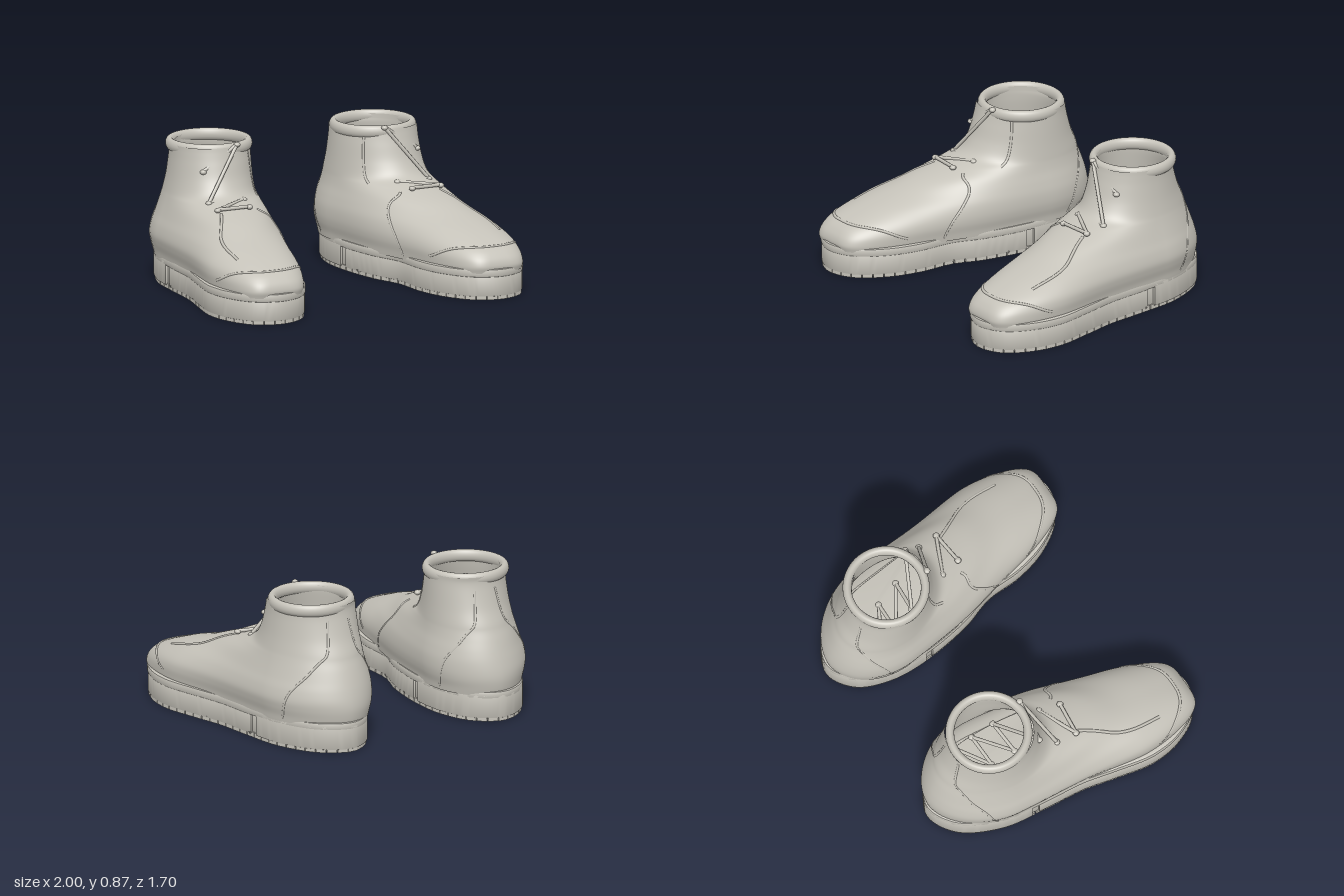
import * as THREE from 'three';
import { mergeGeometries, toCreasedNormals } from 'three/addons/utils/BufferGeometryUtils.js';

const V = (x, y, z) => new THREE.Vector3(x, y, z);

// Sole outline as [x, z], heel -> inner side -> toe -> outer side
const outlineCurve = new THREE.CatmullRomCurve3([
  [.53, -.855], [.37, -.76], [.285, -.55], [.275, -.3], [.32, 0], [.385, .2], [.40, .42], [.455, .62], [.57, .79],
  [.73, .85], [.885, .79], [.975, .63], [1.0, .44], [.955, .2], [.91, 0], [.885, -.25], [.845, -.52], [.71, -.77],
].map(([x, z]) => V(x, 0, z)), true);

function outline(inset, n = 160) {
  const pts = [];
  for (let i = 0; i < n; i++) {
    const p = outlineCurve.getPointAt(i / n), t = outlineCurve.getTangentAt(i / n);
    pts.push(new THREE.Vector2(p.x + t.z * inset, p.z - t.x * inset));
  }
  return pts;
}

function slab(points, y0, y1, bevel = 0.006) {
  const shape = new THREE.Shape(points.map(p => new THREE.Vector2(p.x, -p.y)));
  const geo = new THREE.ExtrudeGeometry(shape, {
    depth: y1 - y0 - 2 * bevel, bevelEnabled: true, bevelThickness: bevel, bevelSize: bevel, bevelOffset: -bevel, bevelSegments: 2,
  });
  return toCreasedNormals(geo.rotateX(-Math.PI / 2).translate(0, y0 + bevel, 0), 0.6);
}

function inside(x, z, poly) {
  let hit = false;
  for (let i = 0, j = poly.length - 1; i < poly.length; j = i++) {
    const a = poly[i], b = poly[j];
    if ((a.y > z) !== (b.y > z) && x < (b.x - a.x) * (z - a.y) / (b.y - a.y) + a.x) hit = !hit;
  }
  return hit;
}

// Upper: level rings of [y, back z, front z, half width, roundness of the front, x shift]
const rows = [
  [.16, -.835, .828, .298, .45, 0], [.20, -.845, .836, .305, .46, 0], [.25, -.85, .815, .32, .54, 0],
  [.30, -.845, .755, .328, .67, 0], [.36, -.83, .60, .322, .80, -.005], [.42, -.81, .40, .305, .89, -.01],
  [.48, -.787, .235, .287, .94, -.012], [.53, -.765, .06, .275, .97, -.015], [.57, -.75, -.05, .268, 1, -.018],
  [.65, -.715, -.11, .258, 1, -.022], [.75, -.685, -.145, .25, 1, -.025], [.81, -.673, -.162, .247, 1, -.025],
  [.845, -.675, -.17, .247, 1, -.025],
];
const curveA = new THREE.CatmullRomCurve3(rows.map(r => V(r[0], r[1], r[2])), false, 'catmullrom', .5);
const curveB = new THREE.CatmullRomCurve3(rows.map(r => V(r[3], r[4], r[5])), false, 'catmullrom', .5);
const stops = [-.9, -.4, 0, .4, .9];
const centreLine = new THREE.SplineCurve([.525, .57, .615, .695, .735].map((x, i) => new THREE.Vector2(stops[i], x)));
const ZC = -.42;

function centreX(z) {
  let i = 0;
  while (i < 3 && z > stops[i + 1]) i++;
  const f = THREE.MathUtils.clamp((z - stops[i]) / (stops[i + 1] - stops[i]), 0, 1);
  return centreLine.getPoint((i + f) / 4).y;
}

// Point on the upper: u runs from sole to collar, t around from the toe towards the outer side
function upperPoint(u, t, inset = 0) {
  const a = curveA.getPoint(u), b = curveB.getPoint(u);
  const c = Math.cos(t), s = Math.sin(t);
  const z = ZC + c * (c > 0 ? a.z - inset - ZC : ZC - a.y - inset);
  const e = c > 0 ? b.y : 1 + .1 * (1 - u);
  const toe = 1 + .05 * Math.exp(-(((z - .48) / .22) ** 2));
  const x = centreX(z) + b.z + Math.sign(s) * Math.pow(Math.abs(s), e) * (b.x - inset) * toe;
  return V(x, a.x, z);
}

function loft(inset, flip) {
  const N = 160, M = 72, pos = [], idx = [];
  for (let i = 0; i <= M; i++) for (let j = 0; j < N; j++) {
    const p = upperPoint(i / M, j / N * Math.PI * 2, inset);
    pos.push(p.x, p.y - (i < M ? inset * .6 : 0), p.z);
  }
  for (let i = 0; i < M; i++) for (let j = 0; j < N; j++) {
    const a = i * N + j, b = i * N + (j + 1) % N, c = a + N, d = b + N;
    if (flip) idx.push(a, c, b, b, c, d); else idx.push(a, b, c, b, d, c);
  }
  const geo = new THREE.BufferGeometry();
  geo.setAttribute('position', new THREE.Float32BufferAttribute(pos, 3));
  geo.setIndex(idx);
  geo.computeVertexNormals();
  return geo;
}

// Low raised seam through [u, t] points, sunk partly into the upper
function seam(path, r = .009) {
  const guide = new THREE.CatmullRomCurve3(path.map(([u, t]) => V(u, t, 0)));
  const pts = guide.getPoints(30).map(p => upperPoint(p.x, p.y, .006));
  return new THREE.TubeGeometry(new THREE.CatmullRomCurve3(pts), 60, r, 8);
}

function treadGeometry() {
  const parts = [], area = outline(.045);
  for (let row = 0, z = -.82; z < .85; z += .042, row++) {
    for (let x = .25 + (row % 2) * .045; x < 1; x += .09) {
      if (inside(x, z, area)) parts.push(new THREE.CylinderGeometry(.05, .03, .03, 4).translate(x, .015, z));
    }
  }
  // Lugs along the edge
  const n = 60;
  for (let i = 0; i < n; i++) {
    const p = outlineCurve.getPointAt(i / n), t = outlineCurve.getTangentAt(i / n);
    const box = new THREE.BoxGeometry(.045, .03, .06).rotateY(Math.atan2(t.x, t.z));
    parts.push(box.translate(p.x + t.z * .031, .015, p.z - t.x * .031));
  }
  return toCreasedNormals(mergeGeometries(parts), .5);
}

// Zigzag lace over the instep, over the collar and down inside
const lacePoints = [
  [.54, .54, .08], [.74, .535, .06], [.51, .555, -.05], [.73, .55, -.07], [.49, .86, -.172], [.71, .715, -.18],
  [.43, .56, -.32], [.63, .52, -.30], [.40, .46, -.45], [.60, .43, -.44], [.37, .40, -.57], [.55, .39, -.56],
].map(p => V(...p));

function laceGeometry() {
  const parts = [];
  for (let i = 1; i < lacePoints.length; i++) {
    parts.push(new THREE.TubeGeometry(new THREE.LineCurve3(lacePoints[i - 1], lacePoints[i]), 1, .011, 8));
  }
  return mergeGeometries(parts);
}

function eyeletGeometry() {
  return mergeGeometries(lacePoints.map(p =>
    new THREE.SphereGeometry(.02, 12, 8).scale(1, .75, 1).translate(p.x, p.y - .003, p.z)));
}

function mirrored(geo) {
  const g = geo.clone().scale(-1, 1, 1);
  const src = g.index ? Array.from(g.index.array) : Array.from({ length: g.attributes.position.count }, (_, i) => i);
  for (let i = 0; i < src.length; i += 3) [src[i + 1], src[i + 2]] = [src[i + 2], src[i + 1]];
  g.setIndex(src);
  return g;
}

export function createModel() {
  const clay = new THREE.MeshStandardMaterial({ color: 0xc5c2b9 });
  clay.name = 'warmGrey';
  const parts = {
    upper: loft(0, false),
    lining: loft(.035, true),
    insole: slab(outline(.04), .17, .2),
    collar: new THREE.TorusGeometry(.23, .026, 16, 64).rotateX(Math.PI / 2).scale(1, 1.4, 1).translate(.544, .829, -.424),
    welt: slab(outline(0), .135, .183, .01),
    soleCore: slab(outline(.016), .02, .15),
    frontSole: slab(outline(.004).filter(p => p.y > -.29), .02, .14),
    heelBlock: slab(outline(0).filter(p => p.y < -.315), .02, .165),
    tread: treadGeometry(),
    lace: laceGeometry(),
    eyelets: eyeletGeometry(),
    toeSeam: seam([[.12, -.75], [.22, -.5], [.25, 0], [.22, .5], [.12, .75]]),
    innerVampSeam: seam([[.05, -1.0], [.3, -1.0], [.45, -.85], [.55, -.5]]),
    outerVampSeam: seam([[.55, .4], [.47, .5], [.4, .55], [.31, .4]]),
    outerHeelSeam: seam([[.05, 1.9], [.3, 2.05], [.5, 2.4], [.7, 2.75], [.85, 2.85]]),
    innerHeelSeam: seam([[.05, -1.9], [.3, -2.05], [.5, -2.4], [.7, -2.75], [.85, -2.85]]),
    shaftSeam: seam([[.6, -.9], [.75, -.85], [.98, -.75]]),
  };
  const model = new THREE.Group();
  model.name = 'pairOfBoots';
  for (const side of ['left', 'right']) {
    const boot = new THREE.Group();
    boot.name = side + 'Boot';
    for (const [name, geo] of Object.entries(parts)) {
      const mesh = new THREE.Mesh(side === 'left' ? geo : mirrored(geo), clay);
      mesh.name = name;
      boot.add(mesh);
    }
    model.add(boot);
  }
  return model;
}
